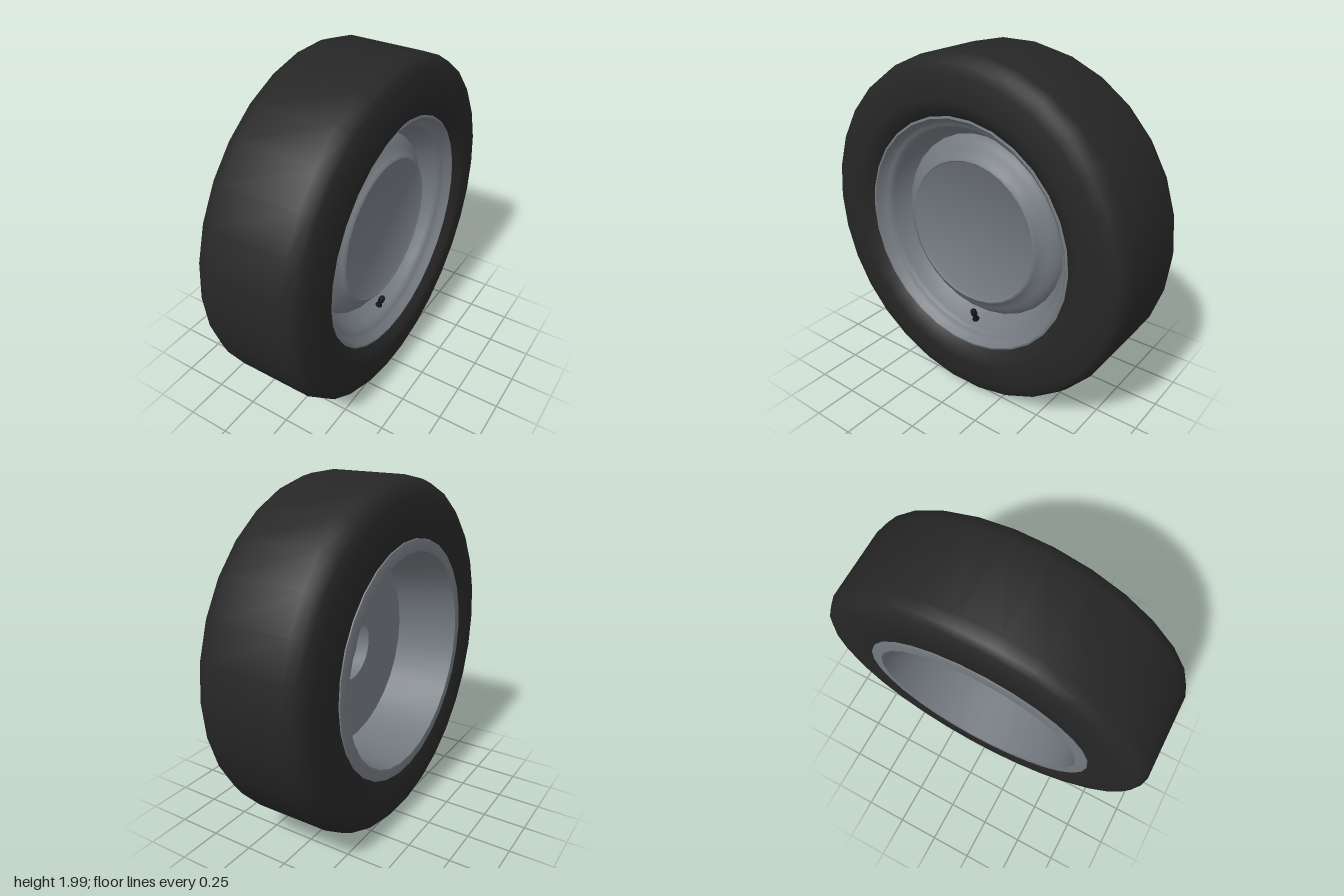
import * as THREE from 'three';
import { toCreasedNormals } from 'three/addons/utils/BufferGeometryUtils.js';

const SIDES = 30;
const CENTRE_Y = 0.9945;

// Turned part: profile of [radius, offset], spun about its own axis
function turned(name, profile, sides, material, crease = 0.6) {
  const points = profile.map(([r, x]) => new THREE.Vector2(r, x));
  const geometry = toCreasedNormals(new THREE.LatheGeometry(points, sides), crease);
  const mesh = new THREE.Mesh(geometry, material);
  mesh.name = name;
  return mesh;
}

export function createModel() {
  const rubber = new THREE.MeshStandardMaterial({ name: 'tyre rubber', color: 0x262626 });
  const steel = new THREE.MeshStandardMaterial({ name: 'rim steel', color: 0x73797f });
  const black = new THREE.MeshStandardMaterial({ name: 'valve black', color: 0x141414 });

  const group = new THREE.Group();
  group.name = 'wheel';

  // Wheel axle runs along x, with the dished face towards +x
  const wheel = new THREE.Group();
  wheel.name = 'wheelAssembly';
  wheel.rotation.z = -Math.PI / 2;
  wheel.position.y = CENTRE_Y;
  group.add(wheel);

  // Tyre: flat inner wall, rounded shoulders, bulging outer wall
  wheel.add(turned('tyre', [
    [0.66, -0.31], [0.68, -0.32], [0.89, -0.32], [0.945, -0.303], [0.98, -0.275],
    [1.0, -0.22], [1.0, 0.22], [0.98, 0.28], [0.955, 0.298], [0.9, 0.312],
    [0.77, 0.333], [0.72, 0.322], [0.68, 0.285], [0.66, 0.27],
  ], SIDES, rubber, 0.9));

  // Rim back: hub recess, disc, open barrel and flange
  wheel.add(turned('rimBack', [
    [0, 0.12], [0.19, 0.12], [0.19, 0.04], [0.575, 0.04],
    [0.613, -0.333], [0.63, -0.335], [0.68, -0.327], [0.682, -0.31],
  ], SIDES, steel, 0.5));

  // Rim front: rolled lip, bead step and tapered barrel
  wheel.add(turned('rimFront', [
    [0.682, 0.27], [0.68, 0.287], [0.668, 0.29], [0.66, 0.28], [0.645, 0.25],
    [0.625, 0.236], [0.61, 0.228], [0.6, 0.205], [0.57, 0.14], [0.54, 0.1],
  ], SIDES, steel, 0.7));

  // Dished centre: curved shoulder, raised ring and flat cap
  wheel.add(turned('centreDish', [
    [0.545, 0.098], [0.537, 0.118], [0.515, 0.145], [0.485, 0.165], [0.455, 0.182],
    [0.437, 0.2], [0.428, 0.211], [0.42, 0.213], [0.41, 0.206], [0, 0.206],
  ], SIDES, steel, 0.7));

  // Valve: wide base, thin neck and small cap, leaning outwards
  const valve = turned('valve', [
    [0, -0.01], [0.024, -0.01], [0.024, 0.02], [0.014, 0.042], [0.013, 0.062],
    [0.019, 0.066], [0.019, 0.095], [0.013, 0.105], [0, 0.105],
  ], 10, black);
  valve.position.set(0.165, CENTRE_Y - 0.605, 0);
  valve.rotation.z = -0.35;
  group.add(valve);

  return group;
}
